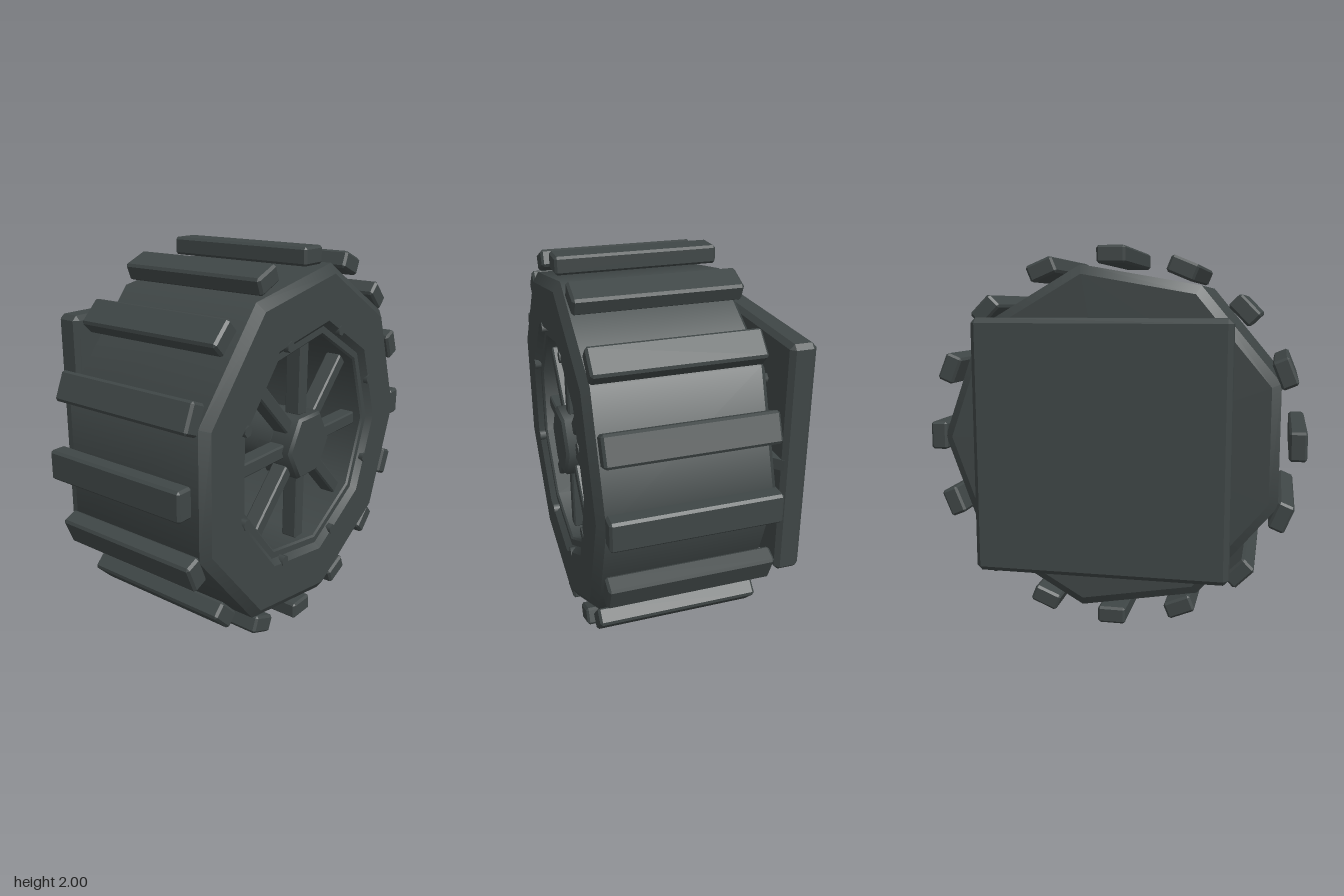
import * as THREE from 'three';
import { mergeGeometries } from 'three/addons/utils/BufferGeometryUtils.js';
import { ConvexGeometry } from 'three/addons/geometries/ConvexGeometry.js';

export function createModel() {
  const model = new THREE.Group();
  model.name = 'wheelAssembly';
  const wheel = new THREE.Group();
  wheel.name = 'wheel';
  wheel.position.y = 1; // the axle runs along x at this height
  model.add(wheel);

  const darkGrey = new THREE.MeshStandardMaterial({ color: 0x3f4646 });
  darkGrey.name = 'darkGrey';
  const amber = new THREE.MeshStandardMaterial({ color: 0x9c731f });
  amber.name = 'amber';

  function add(name, geometry, material = darkGrey, parent = wheel) {
    const mesh = new THREE.Mesh(geometry, material);
    mesh.name = name;
    parent.add(mesh);
    return mesh;
  }

  // Box with all edges chamfered
  function chamferBox(w, h, d, c) {
    const points = [];
    for (const x of [-1, 1]) for (const y of [-1, 1]) for (const z of [-1, 1]) {
      const a = x * w / 2, b = y * h / 2, e = z * d / 2;
      points.push(
        new THREE.Vector3(a, b - y * c, e - z * c),
        new THREE.Vector3(a - x * c, b, e - z * c),
        new THREE.Vector3(a - x * c, b - y * c, e));
    }
    return new ConvexGeometry(points);
  }

  // Turned part about the x axis from [radius, x] points, with a sharp edge at each point
  function turned(profile, sides) {
    const bands = [];
    for (let i = 0; i < profile.length - 1; i++) {
      const pair = [profile[i], profile[i + 1]].map(([r, x]) => new THREE.Vector2(r, x));
      bands.push(new THREE.LatheGeometry(pair, sides, Math.PI));
    }
    return mergeGeometries(bands).rotateZ(-Math.PI / 2);
  }

  // Groups spaced evenly around the axle; local +y points outward
  function around(count, offset, build) {
    for (let i = 0; i < count; i++) {
      const arm = new THREE.Group();
      arm.rotation.x = offset + i * 2 * Math.PI / count;
      wheel.add(arm);
      build(arm);
    }
  }

  // Nine-sided tyre with chamfered shoulders and a recessed rim step
  add('tyre', turned([
    [0.61, -0.26], [0.64, -0.29], [0.87, -0.29], [0.92, -0.255],
    [0.92, 0.545], [0.87, 0.58], [0.64, 0.58], [0.61, 0.55]], 9));
  add('rim', turned([
    [0.575, 0.55], [0.565, 0.54], [0.565, -0.25], [0.575, -0.26],
    [0.61, -0.26], [0.61, 0.55], [0.575, 0.55]], 9));

  // Tread blocks
  const treadGeometry = chamferBox(0.82, 0.09, 0.15, 0.012);
  around(16, 0, (arm) => {
    const tread = add('tread', treadGeometry, darkGrey, arm);
    tread.name = 'treadBlock';
    tread.position.set(0.14, 0.955, 0);
  });

  // Spokes
  const spokeGeometry = chamferBox(0.09, 0.38, 0.072, 0.008);
  around(8, 0, (arm) => {
    add('spoke', spokeGeometry, darkGrey, arm).position.set(0.47, 0.345, 0);
  });

  // Rim bolts
  const boltGeometry = new THREE.CylinderGeometry(0.028, 0.028, 0.05, 6).rotateZ(-Math.PI / 2);
  around(8, Math.PI / 8, (arm) => {
    add('rimBolt', boltGeometry, darkGrey, arm).position.set(0.56, 0.606, 0);
  });

  // Hub cap and axle
  add('hub', turned([
    [0, 0.36], [0.185, 0.36], [0.185, 0.55], [0.17, 0.565], [0, 0.565]], 6));
  add('axle', new THREE.CylinderGeometry(0.17, 0.17, 0.86, 24).rotateZ(-Math.PI / 2));

  // Brake disc and caliper
  add('brakeDisc', turned([
    [0, -0.23], [0.46, -0.23], [0.47, -0.22], [0.47, -0.18], [0.46, -0.17], [0, -0.17]], 7));
  add('brakeCaliper', chamferBox(0.2, 0.21, 0.25, 0.018), amber).position.set(-0.2, 0.45, 0);

  // Mounting plate with four braces and four bolts
  add('mountingPlate', chamferBox(0.14, 1.28, 1.28, 0.025)).position.x = -0.51;
  const braceShape = new THREE.Shape([
    [-0.45, 0.185], [-0.2, 0.185], [-0.2, 0.35], [-0.45, 0.63],
  ].map(([x, y]) => new THREE.Vector2(x, y)));
  const braceGeometry = new THREE.ExtrudeGeometry(braceShape, { depth: 0.06, bevelEnabled: false })
    .translate(0, 0, -0.03);
  around(4, 0, (arm) => add('brace', braceGeometry, darkGrey, arm));
  around(4, Math.PI / 4, (arm) => {
    add('plateBolt', boltGeometry, darkGrey, arm).position.set(-0.435, 0.545, 0);
  });

  return model;
}
